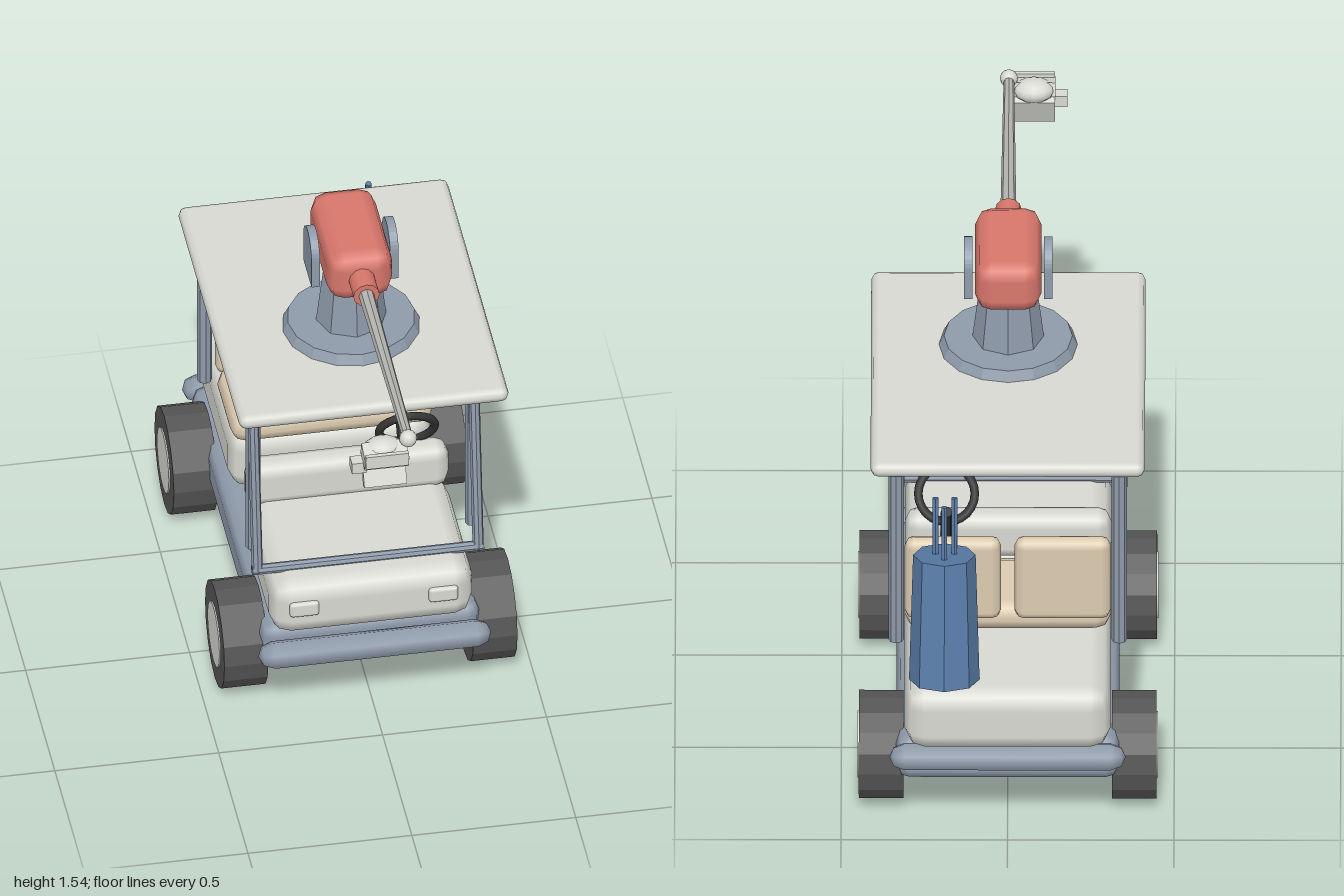
import * as THREE from 'three';
import { RoundedBoxGeometry } from 'three/addons/geometries/RoundedBoxGeometry.js';

export function createModel() {
  const model = new THREE.Group();
  model.name = 'utilityCart';

  const mat = (name, color) => {
    const m = new THREE.MeshStandardMaterial({ color });
    m.name = name;
    return m;
  };
  const paint = mat('pale body paint', 0xd9d9d3);
  const steel = mat('blue grey steel', 0x8f9bab);
  const rubber = mat('tyre rubber', 0x555555);
  const black = mat('black grip', 0x343434);
  const leather = mat('tan upholstery', 0xdccbb0);
  const blue = mat('blue bag', 0x587aa5);
  const red = mat('red housing', 0xd9776c);
  const grey = mat('grey arm metal', 0xb4b4b0);

  const add = (name, geo, material, x = 0, y = 0, z = 0, parent = model) => {
    const mesh = new THREE.Mesh(geo, material);
    mesh.name = name;
    mesh.position.set(x, y, z);
    parent.add(mesh);
    return mesh;
  };
  // Faceted version of a geometry
  const flat = (geo) => {
    const g = geo.toNonIndexed();
    g.computeVertexNormals();
    return g;
  };
  // Rounded box given by its extents on each axis
  const block = (name, material, [x0, x1], [y0, y1], [z0, z1], r) =>
    add(name, new RoundedBoxGeometry(x1 - x0, y1 - y0, z1 - z0, 1, r), material,
      (x0 + x1) / 2, (y0 + y1) / 2, (z0 + z1) / 2);
  // Straight rod between two points
  const rod = (name, material, a, b, r0, r1 = r0, sides = 8, faceted = true) => {
    const p = new THREE.Vector3(...a), q = new THREE.Vector3(...b);
    const d = q.clone().sub(p);
    const geo = new THREE.CylinderGeometry(r1, r0, d.length(), sides);
    const mesh = add(name, faceted ? flat(geo) : geo, material);
    mesh.position.copy(p.add(q).multiplyScalar(0.5));
    mesh.quaternion.setFromUnitVectors(new THREE.Vector3(0, 1, 0), d.normalize());
    return mesh;
  };

  // Chassis and body
  block('chassis', steel, [-0.335, 0.335], [0.155, 0.3], [-0.92, 0.31], 0.04);
  block('frontBody', paint, [-0.31, 0.31], [0.285, 0.475], [-0.155, 0.35], 0.06);
  block('dashboard', paint, [-0.31, 0.31], [0.455, 0.605], [-0.17, -0.075], 0.04);
  block('rearBody', paint, [-0.31, 0.31], [0.295, 0.505], [-0.98, -0.36], 0.06);

  // Bumpers
  for (const [name, y, z] of [['frontBumper', 0.243, 0.365], ['rearBumper', 0.26, -0.94]]) {
    const geo = new THREE.CapsuleGeometry(0.045, 0.62, 2, 6);
    add(name, geo, steel, 0, y, z).rotation.z = Math.PI / 2;
  }

  // Wheels, headlights and seat backs on both sides
  for (const s of [-1, 1]) {
    for (const z of [0.135, -0.73]) {
      const wheel = new THREE.Group();
      wheel.name = 'wheel';
      wheel.position.set(s * 0.38, 0.166, z);
      wheel.rotation.z = -s * Math.PI / 2;
      model.add(wheel);
      add('tyre', flat(new THREE.CylinderGeometry(0.166, 0.166, 0.134, 16)), rubber, 0, 0, 0, wheel);
      add('hub', new THREE.CylinderGeometry(0.102, 0.102, 0.006, 16), paint, 0, 0.068, 0, wheel);
    }
    block('headlight', paint, [s * 0.212 - 0.045, s * 0.212 + 0.045], [0.37, 0.42], [0.335, 0.362], 0.01);
    block('seatBack', leather, [s * 0.165 - 0.145, s * 0.165 + 0.145], [0.56, 0.845], [-0.66, -0.6], 0.029);

    // Canopy posts and raked windscreen posts
    for (const z of [0.158, -0.67]) {
      rod('canopyPost', steel, [s * 0.335, 0.505, z], [s * 0.335, 1.12, z], 0.023);
    }
    rod('windscreenPost', steel, [s * 0.337, 0.475, 0.245], [s * 0.337, 1.11, 0.16], 0.017);
  }
  block('seatCushion', leather, [-0.31, 0.31], [0.5, 0.592], [-0.63, -0.33], 0.043);
  rod('windscreenSill', steel, [-0.353, 0.48, 0.245], [0.353, 0.48, 0.245], 0.016);
  rod('windscreenHeader', steel, [-0.34, 1.09, 0.16], [0.34, 1.09, 0.16], 0.015);
  block('roof', paint, [-0.412, 0.412], [1.103, 1.15], [-0.705, 0.367], 0.0234);

  // Steering wheel and lever
  add('steeringWheel', new THREE.TorusGeometry(0.085, 0.013, 8, 24), black, 0.185, 0.665, -0.122)
    .rotation.x = 0.475;
  rod('steeringColumn', black, [0.185, 0.53, -0.16], [0.185, 0.68, -0.245], 0.018);

  // Turret pedestal with two rounded cheek plates
  const cz = -0.04;
  add('turretBase', flat(new THREE.CylinderGeometry(0.193, 0.21, 0.035, 16)), steel, 0, 1.164, cz);
  add('turretPedestal', flat(new THREE.CylinderGeometry(0.083, 0.108, 0.21, 8)), steel, 0, 1.28, cz);
  const cheek = new THREE.Shape();
  cheek.moveTo(-0.07, 0);
  cheek.lineTo(0.07, 0);
  cheek.lineTo(0.07, 0.095);
  cheek.absarc(0, 0.095, 0.07, 0, Math.PI, false);
  cheek.closePath();
  const cheekGeo = new THREE.ExtrudeGeometry(cheek, { depth: 0.026, bevelEnabled: false, curveSegments: 8 });
  cheekGeo.translate(0, 0, -0.013).rotateY(Math.PI / 2);
  for (const s of [-1, 1]) add('turretCheek', cheekGeo, steel, s * 0.12, 1.36, cz);

  // Turret head, neck and long arm
  block('turretHead', red, [-0.1, 0.1], [1.373, 1.54], [-0.225, 0.147], 0.05);
  rod('armNeck', red, [0, 1.46, 0.12], [0, 1.46, 0.225], 0.04, 0.04, 12, false);
  rod('arm', grey, [0, 1.46, 0.2], [0, 1.46, 0.935], 0.024, 0.016, 8);
  add('wristBall', new THREE.SphereGeometry(0.027, 12, 8), paint, 0, 1.46, 0.935);

  // Gripper at the tip of the arm
  add('gripperDome', new THREE.SphereGeometry(1, 12, 8), paint, -0.075, 1.425, 0.925)
    .scale.set(0.062, 0.036, 0.048);
  add('gripperBody', new THREE.BoxGeometry(0.135, 0.045, 0.07), paint, -0.073, 1.42, 0.95)
    .rotation.x = 0.3;
  add('gripperLip', new THREE.BoxGeometry(0.13, 0.045, 0.014), paint, -0.073, 1.425, 0.985);
  add('gripperFlap', new THREE.BoxGeometry(0.13, 0.105, 0.025), paint, -0.073, 1.353, 0.93)
    .rotation.x = -0.42;
  add('gripperTab', new THREE.BoxGeometry(0.045, 0.038, 0.04), paint, -0.153, 1.385, 0.94);

  // Leaning bag with three rods
  const bag = [0.19, 0.507, -0.89], top = [0.19, 0.9, -0.807];
  rod('bag', blue, bag, top, 0.106, 0.094, 8);
  for (const [x, z] of [[0.16, -0.795], [0.19, -0.845], [0.217, -0.795]]) {
    rod('bagRod', blue, [x, 0.85, z - 0.008], [x, 1.072, z + 0.038], 0.01, 0.01, 6);
  }
  return model;
}
